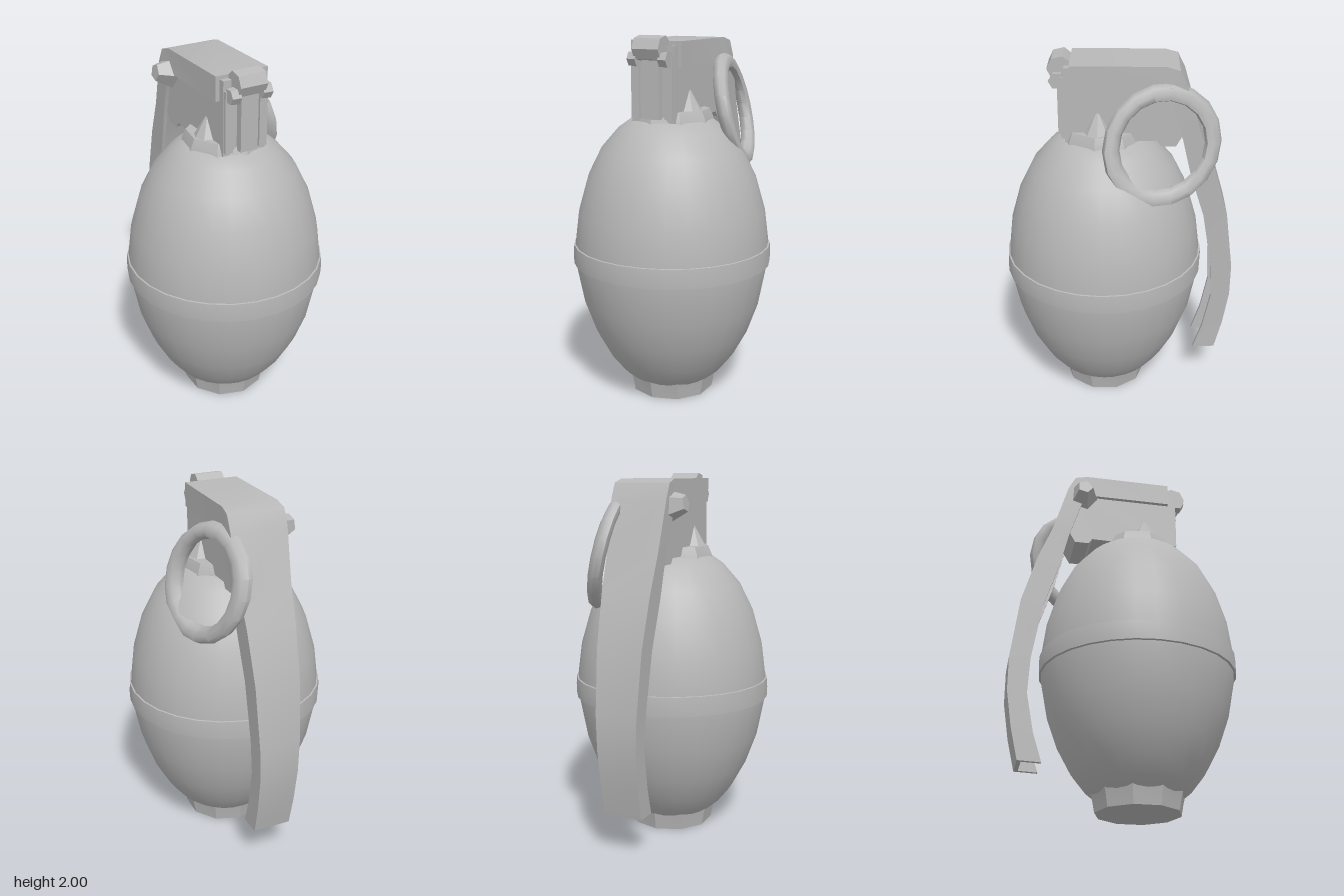
import * as THREE from 'three';
import { toCreasedNormals } from 'three/addons/utils/BufferGeometryUtils.js';

const CZ = 0.085; // body axis

export function createModel() {
  const group = new THREE.Group();
  const metal = new THREE.MeshStandardMaterial({ color: 0xb8b8b8 });
  metal.name = 'grey metal';

  const add = (name, geo, x = 0, y = 0, z = 0, crease = 0.6) => {
    const mesh = new THREE.Mesh(toCreasedNormals(geo, crease), metal);
    mesh.name = name;
    mesh.position.set(x, y, z);
    group.add(mesh);
    return mesh;
  };
  const lathe = (pts, sides) =>
    new THREE.LatheGeometry(pts.map(([r, y]) => new THREE.Vector2(r, y)), sides);
  const box = (w, h, d) => new THREE.BoxGeometry(w, h, d);

  // Egg-shaped body, raised band, foot and neck collar
  add('body', lathe([
    [0, 0.07], [0.23, 0.08], [0.29, 0.13], [0.36, 0.22], [0.435, 0.36], [0.495, 0.53], [0.535, 0.74],
    [0.538, 0.87], [0.515, 1.05], [0.46, 1.24], [0.385, 1.39], [0.29, 1.5], [0.22, 1.55], [0, 1.56],
  ], 28), 0, 0, CZ);
  add('band', lathe([[0.52, 0.752], [0.548, 0.757], [0.55, 0.81], [0.546, 0.862], [0.52, 0.867]], 28), 0, 0, CZ);
  add('foot', lathe([[0, 0], [0.232, 0], [0.245, 0.07], [0.255, 0.11], [0, 0.12]], 10), 0, 0, CZ);
  add('collar', lathe([[0.235, 1.52], [0.225, 1.56], [0.205, 1.605], [0, 1.605]], 9), 0, 0, CZ);

  // Fuze head, extruded across from its side outline (-z, y)
  const outline = new THREE.Shape([
    [-0.28, 1.55], [0.2, 1.56], [0.22, 1.53], [0.3, 1.53], [0.35, 1.62], [0.3, 1.84], [0.25, 1.95], [-0.28, 1.95],
  ].map(([x, y]) => new THREE.Vector2(x, y)));
  const head = new THREE.ExtrudeGeometry(outline, { depth: 0.25, bevelEnabled: false });
  head.translate(0, 0, -0.125).rotateY(Math.PI / 2);
  add('fuzeHead', head);

  // Ribs on the front of the head
  add('frontRib', box(0.1, 0.33, 0.06), 0.005, 1.735, 0.29);
  for (const s of [-1, 1]) {
    add('sideRib', box(0.045, 0.33, 0.05), s * 0.1, 1.735, 0.275);
    // Cone-shaped gusset on each flank
    add('gusset', new THREE.ConeGeometry(0.1, 0.17, 8), s * 0.115, 1.645, 0.11);
    // Hinge pin end
    const pin = new THREE.CylinderGeometry(0.04, 0.045, 0.05, 6).rotateZ(Math.PI / 2);
    add('hingePin', pin, s * 0.09, 1.88, 0.315);
  }
  const hinge = new THREE.CylinderGeometry(0.068, 0.068, 0.155, 7).rotateZ(Math.PI / 2);
  add('hinge', hinge, 0, 1.932, 0.3);

  // Safety lever: U-shaped channel, [outer z, y, flange-edge z, y, half width]
  add('lever', channel([
    [0.25, 1.97, 0.25, 1.84, 0.15], [-0.24, 1.97, -0.22, 1.84, 0.15],
    [-0.31, 1.95, -0.25, 1.82, 0.155], [-0.35, 1.87, -0.27, 1.77, 0.155],
    [-0.43, 1.6, -0.335, 1.57, 0.143], [-0.51, 1.4, -0.385, 1.36, 0.135],
    [-0.59, 1.13, -0.465, 1.11, 0.125], [-0.635, 0.79, -0.52, 0.79, 0.115],
    [-0.635, 0.6, -0.53, 0.59, 0.11], [-0.605, 0.4, -0.49, 0.38, 0.107],
    [-0.565, 0.225, -0.44, 0.22, 0.105],
  ], 0.022), 0, 0, 0, 0.45);

  // Pull pin with faceted end boss
  const shaft = new THREE.CylinderGeometry(0.022, 0.022, 0.36, 8).rotateZ(Math.PI / 2);
  add('pullPin', shaft, 0, 1.85, -0.26);
  const boss = new THREE.CylinderGeometry(0.045, 0.085, 0.1, 5).rotateZ(Math.PI / 2);
  add('pinBoss', boss, -0.175, 1.84, -0.26).rotation.z = -0.15;

  // Pull ring, leaning outward towards the front and bottom
  const ring = new THREE.TorusGeometry(0.264, 0.044, 8, 18).rotateY(Math.PI / 2);
  const p = ring.attributes.position;
  for (let i = 0; i < p.count; i++) p.setX(i, p.getX(i) + 0.25 * (p.getZ(i) - p.getY(i)));
  add('pullRing', ring, 0.23, 1.58, -0.225, 0.9);

  return group;
}

// Lofts a U section of wall thickness t along the stations
function channel(stations, t) {
  const pos = [], idx = [];
  for (const [oz, oy, iz, iy, w] of stations) {
    const k = t / Math.hypot(iz - oz, iy - oy);
    const uz = oz + (iz - oz) * k, uy = oy + (iy - oy) * k;
    const v = w - t;
    pos.push(-w, oy, oz, w, oy, oz, w, iy, iz, v, iy, iz, v, uy, uz, -v, uy, uz, -v, iy, iz, -w, iy, iz);
  }
  const quad = (a, b, c, d) => idx.push(a, b, c, a, c, d);
  const last = (stations.length - 1) * 8;
  for (let s = 0; s < last; s += 8)
    for (let j = 0; j < 8; j++) {
      const n = (j + 1) % 8;
      quad(s + j, s + n, s + 8 + n, s + 8 + j);
    }
  for (const [a, b, c, d] of [[0, 1, 4, 5], [1, 2, 3, 4], [0, 5, 6, 7]]) {
    quad(d, c, b, a);
    quad(last + a, last + b, last + c, last + d);
  }
  const geo = new THREE.BufferGeometry();
  geo.setAttribute('position', new THREE.Float32BufferAttribute(pos, 3));
  geo.setIndex(idx);
  return geo;
}
